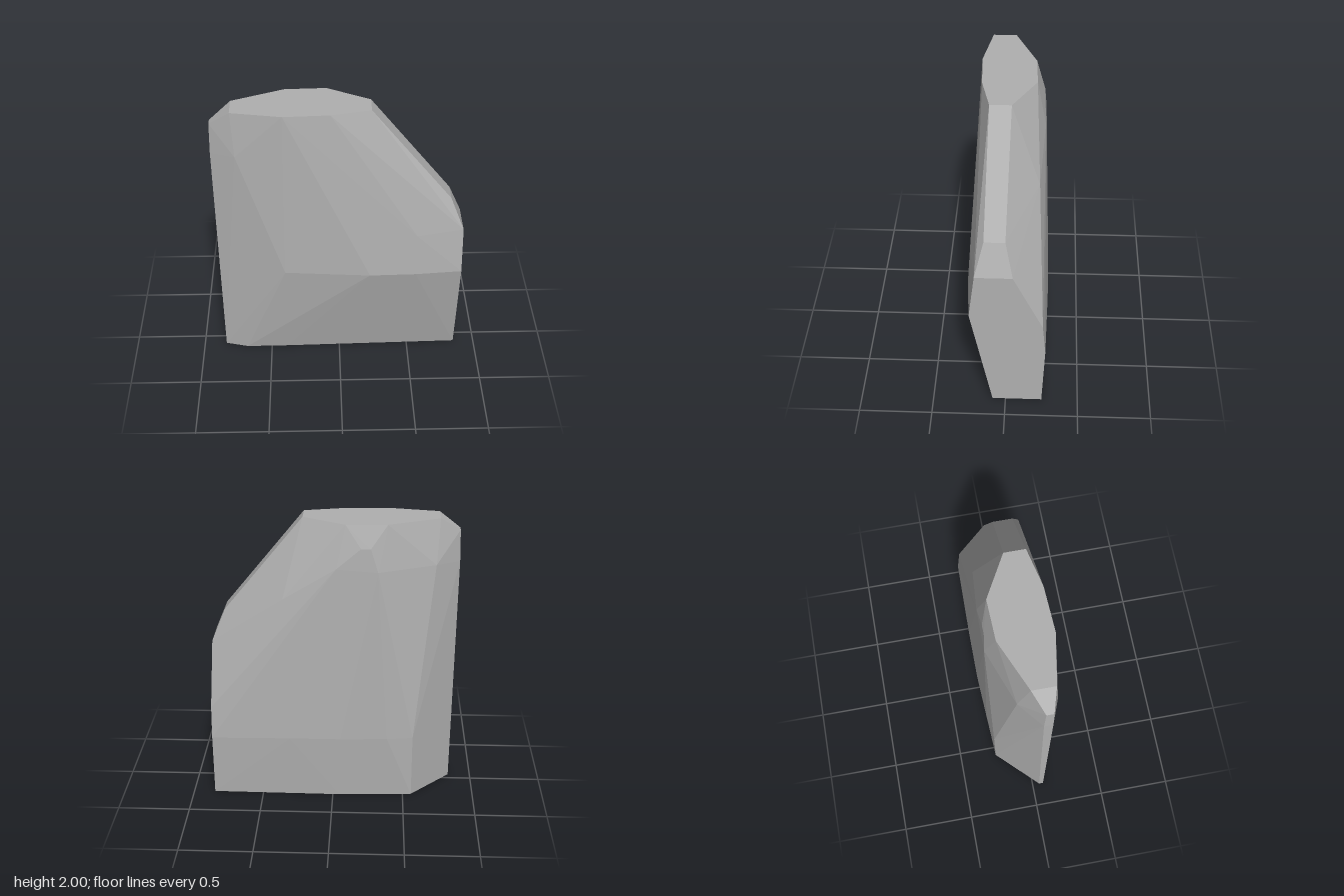
import * as THREE from 'three';
import { ConvexGeometry } from 'three/addons/geometries/ConvexGeometry.js';

// Corner points of the cut stone, grouped by level or edge
const corners = {
  top: [[-0.71, 2, 0.14], [-0.37, 2, 0.2], [-0.06, 2, 0.185], [0.21, 2, 0.125],
    [0.21, 2, -0.02], [-0.08, 2, -0.18], [-0.36, 2, -0.17], [-0.71, 2, -0.02]],
  narrowEdge: [[-0.85, 1.9, 0.1], [-0.85, 1.9, 0.05], [-0.855, 1.68, 0.1], [-0.855, 1.68, 0.04]],
  slopedEdge: [[0.76, 1.32, 0.14], [0.76, 1.32, 0], [0.85, 1.1, 0.2], [0.85, 1.1, -0.05]],
  wideEnd: [[0.85, 0.77, 0.24], [0.85, 0.68, -0.25], [0.85, 0.45, -0.27]],
  frontRidge: [[-0.38, 0.77, 0.23], [0.21, 0.77, 0.275], [0.53, 0.77, 0.267],
    [0.53, 1.08, 0.245], [-0.69, 1.68, 0.162]],
  backRidge: [[-0.56, 0.46, -0.24], [-0.38, 0.46, -0.264], [-0.05, 0.46, -0.279], [0.3, 0.46, -0.279]],
  backShoulder: [[-0.185, 1.85, -0.23], [-0.25, 1.85, -0.229], [-0.3, 1.69, -0.24],
    [-0.02, 1.71, -0.24], [0.34, 1.48, -0.21], [-0.69, 1.7, -0.1]],
  base: [[-0.84, 0, 0.08], [-0.68, 0, 0.12], [-0.38, 0, 0.118], [0.85, 0, 0.09],
    [0.85, 0, -0.25], [-0.05, 0, -0.26], [-0.56, 0, -0.235], [-0.84, 0, 0.05]],
};

export function createModel() {
  const group = new THREE.Group();
  group.name = 'stoneSlab';

  const stone = new THREE.MeshStandardMaterial({ color: 0xb0b0b0 });
  stone.name = 'stone grey';

  // Faceted slab spanning all the corners
  const points = Object.values(corners).flat().map((p) => new THREE.Vector3(...p));
  const slab = new THREE.Mesh(new ConvexGeometry(points), stone);
  slab.name = 'slab';
  group.add(slab);
  return group;
}
